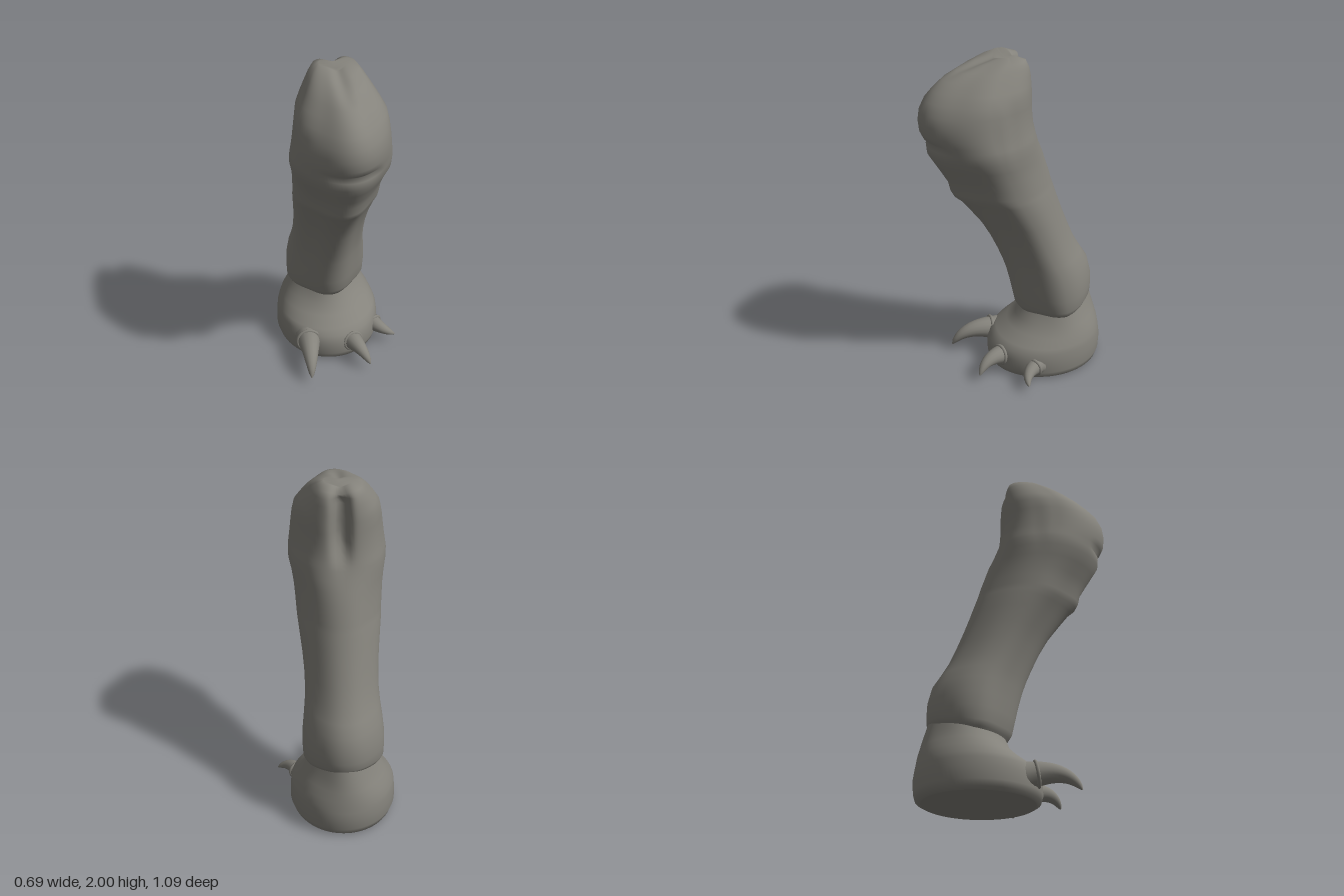
import * as THREE from 'three';
import { mergeVertices } from 'three/addons/utils/BufferGeometryUtils.js';

const CX = -0.035; // the limb stands slightly off centre
const SEG = 96;
const step = THREE.MathUtils.smoothstep;
const bell = (v, w) => Math.exp(-(v * v) / (w * w));

// Skin horizontal sections [y, front z, back z, half width]: rounded, squarer at the back by
// backPower(y), drawn in on the diagonals by pinch(y, c); shape(p, y, c) adjusts each point
function loft(rows, backPower, pinch, shape) {
  const pos = [], index = [];
  const p = new THREE.Vector3();
  const push = (y, c) => {
    shape(p, y, c);
    pos.push(p.x + CX, p.y, p.z);
  };
  for (const [y, front, back, half] of rows) {
    const mid = (front + back) / 2, depth = (front - back) / 2;
    for (let j = 0; j < SEG; j++) {
      const a = (j / SEG) * Math.PI * 2, c = Math.cos(a), s = Math.sin(a);
      const e = c > 0 ? 1 : 2 / backPower(y);
      const f = 1 - pinch(y, c) * Math.sin(2 * a) ** 2;
      p.set(f * half * Math.sign(s) * Math.abs(s) ** e, y, mid + f * depth * Math.sign(c) * Math.abs(c) ** e);
      push(y, c);
    }
  }
  for (let i = 0; i < rows.length - 1; i++) {
    for (let j = 0; j < SEG; j++) {
      const a = i * SEG + j, b = i * SEG + ((j + 1) % SEG);
      index.push(a, b, a + SEG, b, b + SEG, a + SEG);
    }
  }
  // Top cap: left and right sides meet along a centre line
  const top = (rows.length - 1) * SEG, line = rows.length * SEG;
  for (let j = 0; j <= SEG / 2; j++) {
    p.set(0, rows[rows.length - 1][0], pos[(top + j) * 3 + 2]);
    push(p.y, 1);
  }
  for (let j = 0; j < SEG / 2; j++) {
    const a = top + j, b = a + 1, m = line + j;
    const c = top + ((SEG - j) % SEG), d = top + SEG - j - 1;
    index.push(a, b, m, b, m + 1, m, m, m + 1, c, m + 1, d, c);
  }
  const geo = new THREE.BufferGeometry();
  geo.setAttribute('position', new THREE.Float32BufferAttribute(pos, 3));
  geo.setIndex(index);
  geo.computeVertexNormals();
  return geo;
}

// Curved horn: a tube whose rings shrink towards the tip
function clawGeometry(curve, radius) {
  const rings = 14, sides = 16;
  const geo = new THREE.TubeGeometry(curve, rings, 1, sides);
  const pos = geo.attributes.position, v = new THREE.Vector3();
  for (let i = 0; i <= rings; i++) {
    const t = i / rings, centre = curve.getPointAt(t);
    const r = radius * (1 - t) ** 0.7 + 0.004;
    for (let j = 0; j <= sides; j++) {
      const k = i * (sides + 1) + j;
      v.fromBufferAttribute(pos, k).sub(centre).multiplyScalar(r).add(centre);
      pos.setXYZ(k, v.x, v.y, v.z);
    }
  }
  geo.deleteAttribute('uv');
  geo.deleteAttribute('normal');
  const merged = mergeVertices(geo);
  merged.computeVertexNormals();
  return merged;
}

export function createModel() {
  const group = new THREE.Group();
  const stone = new THREE.MeshStandardMaterial({ color: 0x85837c });
  stone.name = 'stone grey';
  const add = (name, geo) => {
    const mesh = new THREE.Mesh(geo, stone);
    mesh.name = name;
    group.add(mesh);
    return mesh;
  };

  // Foot: broad rounded pad narrowing to the ankle
  const footRows = [
    [0, 0.12, -0.5, 0.28], [0.015, 0.145, -0.53, 0.3], [0.05, 0.155, -0.54, 0.312],
    [0.12, 0.155, -0.545, 0.31], [0.17, 0.135, -0.538, 0.305], [0.2, 0.1, -0.533, 0.295],
    [0.25, 0.03, -0.525, 0.272], [0.3, -0.02, -0.512, 0.245], [0.36, -0.045, -0.496, 0.215],
    [0.42, -0.08, -0.478, 0.19], [0.46, -0.1, -0.465, 0.17],
  ];
  add('foot', loft(footRows, () => 2, (y) => 0.08 * step(y, 0.2, 0.36), () => {}));

  // Flat sole
  const sole = add('sole', new THREE.CircleGeometry(1, SEG));
  sole.rotation.x = Math.PI / 2;
  sole.scale.set(0.28, 0.31, 1);
  sole.position.set(CX, 0, -0.19);

  // Leaning leg with front folds, swelling into a cleft upper end
  const legRows = [
    [0.33, -0.06, -0.45, 0.19], [0.37, -0.03, -0.47, 0.22], [0.4, -0.012, -0.48, 0.234],
    [0.48, 0.005, -0.483, 0.238], [0.56, 0.022, -0.48, 0.236], [0.65, 0.045, -0.458, 0.226],
    [0.72, 0.068, -0.415, 0.217], [0.8, 0.1, -0.37, 0.211], [0.9, 0.145, -0.328, 0.212],
    [1.0, 0.2, -0.29, 0.219], [1.1, 0.272, -0.255, 0.23], [1.17, 0.325, -0.232, 0.238],
    [1.2, 0.36, -0.222, 0.24], [1.235, 0.378, -0.21, 0.242], [1.29, 0.39, -0.195, 0.245],
    [1.35, 0.424, -0.175, 0.25], [1.42, 0.465, -0.152, 0.26], [1.48, 0.5, -0.125, 0.274],
    [1.53, 0.508, -0.108, 0.275], [1.555, 0.515, -0.1, 0.272], [1.58, 0.525, -0.094, 0.268],
    [1.62, 0.54, -0.085, 0.262], [1.68, 0.546, -0.08, 0.255], [1.74, 0.538, -0.079, 0.248],
    [1.8, 0.51, -0.079, 0.237], [1.85, 0.465, -0.079, 0.208], [1.9, 0.405, -0.077, 0.177],
    [1.94, 0.325, -0.068, 0.15], [1.975, 0.225, -0.05, 0.122], [2.0, 0.12, 0.01, 0.085],
  ];
  const backPower = (y) => 2.1 + 0.9 * step(y, 1.4, 1.65);
  const pinch = (y, c) => c > 0
    ? 0.12 - 0.06 * step(y, 1.2, 1.5) + 0.07 * step(y, 1.68, 1.85)
    : 0.06 * (1 - step(y, 1.3, 1.6));
  add('leg', loft(legRows, backPower, pinch, (p, y, c) => {
    // narrower rear lobes with shallow side hollows
    if (c < 0) p.x *= 1 - 0.22 * step(y, 1.4, 1.65) * (1 - step(y, 1.85, 2)) * c * c;
    const hollow = step(y, 1.4, 1.58) * (1 - step(y, 1.76, 1.84)) * (1 - step(p.z, 0.08, 0.18));
    p.x *= 1 - 0.05 * hollow;
    // brow fold across the front only
    p.z -= 0.024 * bell(y - 1.555, 0.018) * step(c, 0.7, 0.95);
    // ankle crease rising towards the heel
    if (c < 0) p.y -= 0.06 * c * (1 - step(y, 0.33, 0.52));
    // cleft down the back and a dip along the crest
    if (c < 0) p.z += 0.07 * step(y, 1.5, 1.72) * (1 - step(y, 1.93, 2)) * bell(p.x, 0.045) * -c;
    p.y -= 0.022 * step(y, 1.9, 1.98) * bell(p.x, 0.04);
  }));

  // Three claws, each with a thin collar: base, bend, tip, radius, collar place along the claw
  const claws = [
    ['rightClaw', [-0.2, 0.115, 0.02], [-0.225, 0.185, 0.25], [-0.24, 0.05, 0.33], 0.076, 0.22],
    ['middleClaw', [0.045, 0.1, 0.08], [0.085, 0.15, 0.24], [0.13, 0.05, 0.29], 0.062, 0.22],
    ['leftClaw', [0.21, 0.09, -0.06], [0.26, 0.1, 0.06], [0.34, 0.05, 0.06], 0.052, 0.22],
  ];
  const forward = new THREE.Vector3(0, 0, 1);
  for (const [name, base, bend, tip, radius, at] of claws) {
    const curve = new THREE.QuadraticBezierCurve3(...[base, bend, tip].map((q) => new THREE.Vector3(...q)));
    add(name, clawGeometry(curve, radius));
    const collar = add(name + 'Collar', new THREE.TorusGeometry(radius * 0.9, 0.01, 8, 24));
    collar.position.copy(curve.getPointAt(at));
    collar.quaternion.setFromUnitVectors(forward, curve.getTangentAt(at));
  }
  return group;
}
